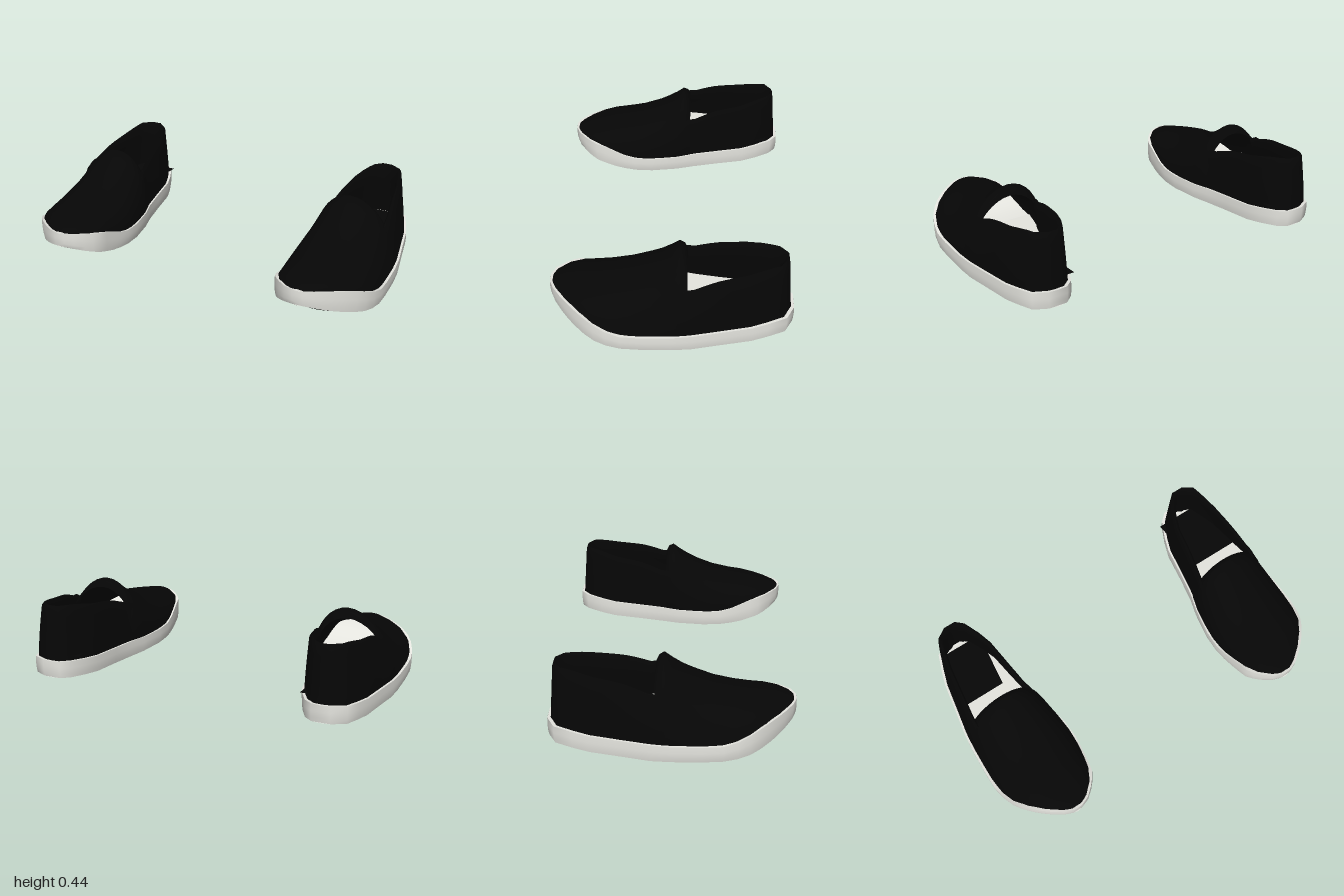
import * as THREE from 'three';
import { toCreasedNormals } from 'three/addons/utils/BufferGeometryUtils.js';

const mat = (name, color) => {
  const m = new THREE.MeshStandardMaterial({ color, side: THREE.DoubleSide });
  m.name = name;
  return m;
};

// Sole stations, toe to heel: z, inner x, outer x, underside y, upper rim y
const SOLE = [
  [0.61, 0.66, 0.715, 0.118, 0.200],
  [0.59, 0.61, 0.76, 0.108, 0.197],
  [0.55, 0.565, 0.815, 0.088, 0.191],
  [0.515, 0.535, 0.855, 0.073, 0.185],
  [0.48, 0.513, 0.89, 0.060, 0.178],
  [0.43, 0.503, 0.932, 0.044, 0.163],
  [0.38, 0.494, 0.963, 0.030, 0.143],
  [0.32, 0.484, 0.985, 0.020, 0.118],
  [0.25, 0.476, 0.998, 0.013, 0.100],
  [0.15, 0.480, 0.998, 0.007, 0.093],
  [0.00, 0.508, 0.992, 0.002, 0.090],
  [-0.10, 0.538, 0.982, 0.000, 0.092],
  [-0.24, 0.562, 0.957, 0.006, 0.097],
  [-0.40, 0.585, 0.93, 0.013, 0.105],
  [-0.48, 0.613, 0.905, 0.019, 0.112],
  [-0.57, 0.655, 0.872, 0.027, 0.121],
  [-0.61, 0.70, 0.80, 0.030, 0.125],
];
// Top line of the vamp and of the collar: z, y
const VAMP = [
  [0.597, 0.2], [0.575, 0.215], [0.52, 0.227], [0.45, 0.24], [0.38, 0.253], [0.3, 0.268], [0.2, 0.295],
  [0.1, 0.34], [0.05, 0.368], [0, 0.402], [-0.04, 0.435], [-0.065, 0.422], [-0.08, 0.39],
];
const COLLAR = [
  [-0.03, 0.30], [-0.08, 0.325], [-0.12, 0.327], [-0.2, 0.355], [-0.25, 0.369], [-0.3, 0.378], [-0.4, 0.392],
  [-0.48, 0.408], [-0.53, 0.417], [-0.57, 0.421], [-0.61, 0.421],
];

// Linear interpolation in a table sorted by falling z
function at(table, z, col) {
  if (z >= table[0][0]) return table[0][col];
  for (let i = 1; i < table.length; i++) {
    const a = table[i - 1], b = table[i];
    if (z >= b[0]) return a[col] + (b[col] - a[col]) * (a[0] - z) / (a[0] - b[0]);
  }
  return table[table.length - 1][col];
}
const inner = z => at(SOLE, z, 1);
const outer = z => at(SOLE, z, 2);
const underside = z => at(SOLE, z, 3);
const rim = z => at(SOLE, z, 4);
const middle = z => (inner(z) + outer(z)) / 2;
const upperHalf = z => (outer(z) - inner(z)) / 2 - 0.01;

// Surface through rows of points; side = -1 mirrors it
function surface(rows, side, closed, crease = 0.8) {
  const n = rows[0].length, index = [];
  const pos = rows.flat().flatMap(([x, y, z]) => [x * side, y, z]);
  for (let r = 0; r < rows.length - 1; r++) {
    for (let i = 0; i < (closed ? n : n - 1); i++) {
      const j = (i + 1) % n, a = r * n + i, b = r * n + j, c = a + n, d = b + n;
      if (side > 0) index.push(a, b, c, b, d, c);
      else index.push(a, c, b, b, c, d);
    }
  }
  const g = new THREE.BufferGeometry();
  g.setAttribute('position', new THREE.Float32BufferAttribute(pos, 3));
  g.setIndex(index);
  return toCreasedNormals(g, crease);
}

// Closed sole with a slightly tapered lower wall
function soleGeometry(side) {
  const loop = [
    ...SOLE.map(s => [s[2], s[0]]),
    ...SOLE.slice().reverse().map(s => [s[1], s[0]]),
  ];
  const ring = (k, t) => loop.map(([x, z]) => {
    const m = middle(z), lo = underside(z), hi = rim(z);
    return [m + (x - m) * k, lo + (hi - lo) * t, z * (k ? 0.7 + k * 0.3 : 1)];
  });
  const rows = [ring(0, 0), ring(0.97, 0), ring(0.99, 0.25), ring(1, 0.6), ring(0.995, 1), ring(0, 0.97)];
  return surface(rows, side, true);
}

// Arched front upper leaning to the inner side, ending in the tongue edge
function vampGeometry(side) {
  const rows = VAMP.map(([z, h]) => {
    const base = rim(z) - 0.02;
    return Array.from({ length: 21 }, (_, i) => {
      const a = Math.PI * i / 20, rise = (h - base) * Math.sin(a);
      return [middle(z) + upperHalf(z) * Math.cos(a) - 0.12 * rise, base + rise, z];
    });
  });
  return surface(rows, side, false, 1.2);
}

// Rear upper: outer wall, rolled collar and lining, wrapped round the heel
function quarterGeometry(side) {
  const path = [
    ...COLLAR.map(([z]) => [z, 1]),
    ...COLLAR.slice().reverse().map(([z]) => [z, -1]),
  ];
  const wall = (v, thick) => path.map(([z, s]) => {
    const base = rim(z) - 0.02, lean = s > 0 ? 0.3 : 0.09;
    const x = middle(z) + s * (upperHalf(z) * (1 - lean * Math.pow(v, 1.6)) - thick);
    return [x, base + (at(COLLAR, z, 1) - base) * v, z * (0.975 - 0.04 * v - thick * 1.5)];
  });
  const rows = [
    ...[0, 0.2, 0.4, 0.6, 0.8, 0.95].map(v => wall(v, 0)),
    wall(1, 0.007), wall(0.96, 0.018),
    ...[0.7, 0.4, 0].map(v => wall(v, 0.02)),
  ];
  return surface(rows, side, false, 1.2);
}

// Thin panel between two edges; round > 0 rounds its ends
function panelGeometry(side, z0, z1, left, right, height, round = 0) {
  const rows = [];
  for (let i = 0; i <= 24; i++) {
    const t = -Math.cos(Math.PI * i / 24), z = (z0 + z1) / 2 + t * (z1 - z0) / 2;
    const k = round ? Math.pow(Math.max(0, 1 - Math.pow(Math.abs(t), round)), 1 / round) : 1;
    const c = (left(z) + right(z)) / 2, half = Math.max(0.002, (right(z) - left(z)) / 2 * k);
    rows.push([[c - half, height(z), z], [c + half, height(z), z]]);
  }
  return surface(rows, side, false);
}

export function createModel() {
  const black = mat('black canvas', 0x060606);
  const white = mat('off-white rubber', 0xe6e6e0);
  const model = new THREE.Group();
  model.name = 'slipOnShoes';

  for (const side of [1, -1]) {
    const shoe = new THREE.Group();
    shoe.name = side > 0 ? 'leftShoe' : 'rightShoe';
    const add = (name, geometry, material) => {
      const mesh = new THREE.Mesh(geometry, material);
      mesh.name = name;
      shoe.add(mesh);
    };
    const inset = (d, f, s) => z => f(z) + s * d;

    add('sole', soleGeometry(side), white);
    add('vamp', vampGeometry(side), black);
    add('quarter', quarterGeometry(side), black);

    // Insole and its dark heel pad
    add('insole', panelGeometry(side, 0.12, -0.555, inset(0.03, inner, 1), inset(0.035, outer, -1), () => 0.135), white);
    add('heelPad', panelGeometry(side, -0.22, -0.54, z => 0.68 + 0.11 * z, inset(0.04, outer, -1), () => 0.141), black);

    // Grip patches under the sole
    const under = z => underside(z) - 0.003;
    add('frontGrip', panelGeometry(side, 0.56, 0.01, () => 0.552, () => 0.87, under, 2.5), black);
    add('heelGrip', panelGeometry(side, -0.2, -0.55, inset(0.065, inner, 1), inset(0.065, outer, -1), under, 5), black);
    model.add(shoe);
  }
  return model;
}
